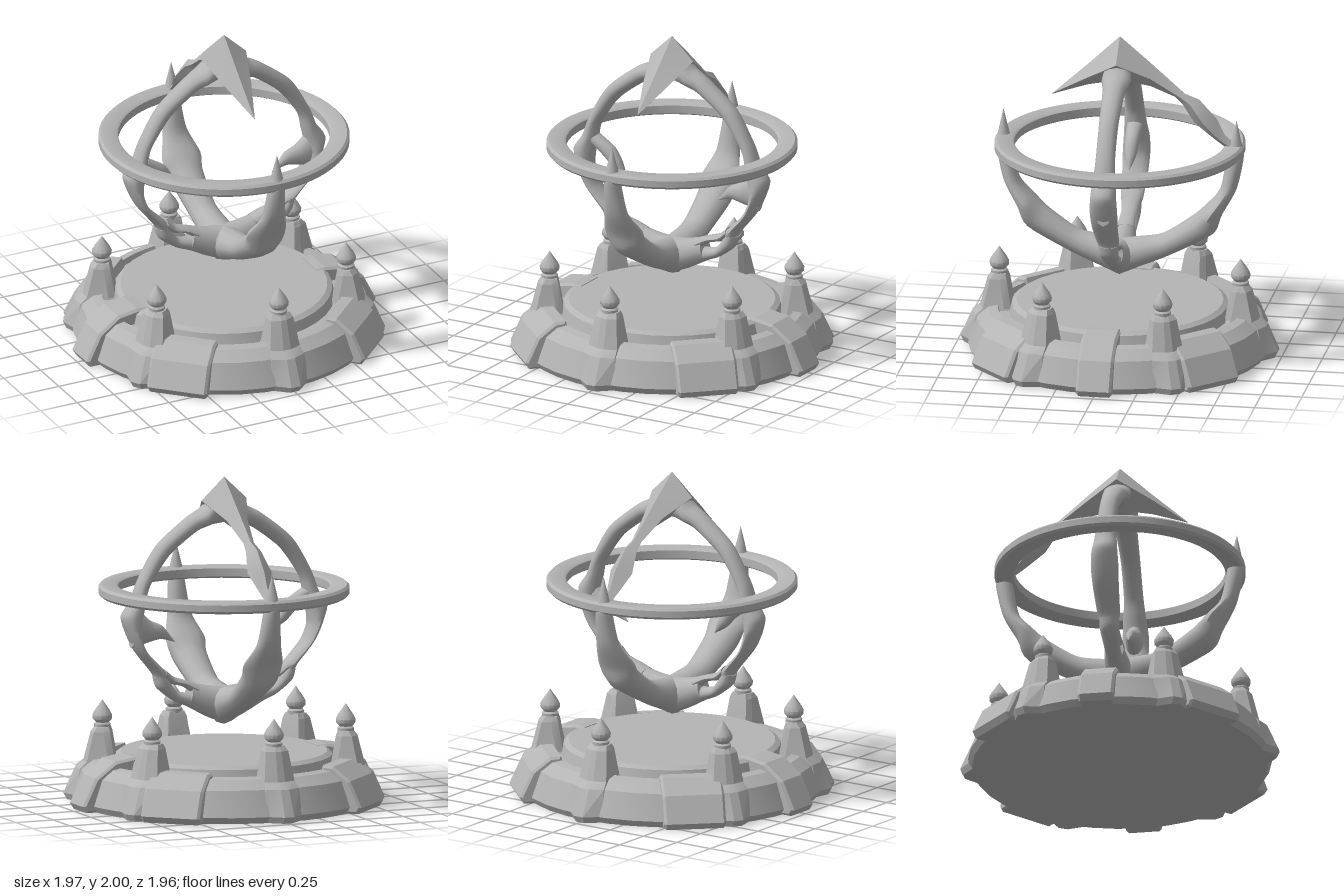
import * as THREE from 'three';
import { toCreasedNormals } from 'three/addons/utils/BufferGeometryUtils.js';

const stone = new THREE.MeshStandardMaterial({ color: 0xb4b4b4 });
stone.name = 'grey stone';

function part(name, geometry, parent) {
  const mesh = new THREE.Mesh(geometry, stone);
  mesh.name = name;
  parent.add(mesh);
  return mesh;
}

// Skin over a stack of equal rings, each end closed at its centre
function loft(rings) {
  const n = rings[0].length;
  const collapse = (ring) => {
    const c = ring.reduce((s, p) => s.add(p), new THREE.Vector3()).divideScalar(n);
    return ring.map(() => c);
  };
  const all = [collapse(rings[0]), ...rings, collapse(rings[rings.length - 1])];
  const index = [];
  for (let k = 0; k < all.length - 1; k++) {
    for (let j = 0; j < n; j++) {
      const a = k * n + j, b = k * n + (j + 1) % n;
      index.push(a, b, b + n, a, b + n, a + n);
    }
  }
  const geo = new THREE.BufferGeometry().setFromPoints(all.flat());
  geo.setIndex(index);
  return geo;
}

// Rib in the xy plane; stations are [outer x, outer y, inner x, inner y, half depth], run clockwise
function rib(stations, sides = 12, sub = 5, crease = 0.9) {
  const outer = new THREE.CatmullRomCurve3(stations.map((s) => new THREE.Vector3(s[0], s[1], s[4])), false, 'catmullrom', 0.4);
  const inner = new THREE.CatmullRomCurve3(stations.map((s) => new THREE.Vector3(s[2], s[3], s[4])), false, 'catmullrom', 0.4);
  const count = (stations.length - 1) * sub;
  const rings = [];
  for (let k = 0; k <= count; k++) {
    const o = outer.getPoint(k / count), i = inner.getPoint(k / count);
    const ring = [];
    for (let j = 0; j < sides; j++) {
      const a = (j / sides) * Math.PI * 2, c = Math.cos(a) / 2;
      ring.push(new THREE.Vector3(
        (o.x + i.x) / 2 + (o.x - i.x) * c,
        (o.y + i.y) / 2 + (o.y - i.y) * c,
        Math.max(o.z, 0) * Math.sin(a)));
    }
    rings.push(ring);
  }
  return toCreasedNormals(loft(rings), crease);
}

function lathe(profile, segments, crease) {
  const geo = new THREE.LatheGeometry(profile.map(([x, y]) => new THREE.Vector2(x, y)), segments);
  return toCreasedNormals(geo, crease);
}

// Block that slopes from the platform edge down to the ground
function buttress(width, profile) {
  const bevel = 0.015;
  const shape = new THREE.Shape(profile.map(([x, y]) => new THREE.Vector2(x, y)));
  const geo = new THREE.ExtrudeGeometry(shape, {
    depth: width - 2 * bevel, bevelEnabled: true, bevelThickness: bevel,
    bevelSize: bevel, bevelOffset: -bevel, bevelSegments: 1,
  });
  return geo.translate(0, 0, bevel - width / 2);
}

function pillarGeometry() {
  // y, inner radius, shoulder radius, front edge radius, half width
  const levels = [
    [0, 0.6, 0.88, 0.96, 0.12], [0.04, 0.6, 0.9, 0.98, 0.125], [0.2, 0.62, 0.87, 0.91, 0.11],
    [0.24, 0.66, 0.83, 0.86, 0.1], [0.42, 0.69, 0.79, 0.815, 0.075], [0.45, 0.7, 0.77, 0.79, 0.06],
  ];
  const rings = levels.map(([y, a, b, c, w]) =>
    [[a, w * 0.8], [a + 0.04, w], [b, w], [c, w * 0.25], [c, -w * 0.25], [b, -w], [a + 0.04, -w], [a, -w * 0.8]]
      .map(([x, z]) => new THREE.Vector3(x, y, z)));
  return toCreasedNormals(loft(rings), 0.3);
}

export function createModel() {
  const model = new THREE.Group();
  model.name = 'ringed cage on pedestal';

  // Pedestal: raised disc, groove and sloping rim
  const base = new THREE.Group();
  base.name = 'pedestal';
  model.add(base);
  part('platform', lathe([
    [0, 0], [0.9, 0], [0.925, 0.04], [0.87, 0.2], [0.8, 0.255], [0.745, 0.265], [0.735, 0.23],
    [0.675, 0.23], [0.66, 0.295], [0.63, 0.315], [0, 0.315],
  ], 36, 0.4), base);

  // Narrow buttresses left and right, wide ones on the diagonals
  const narrow = buttress(0.22, [[0.58, 0], [0.96, 0], [0.985, 0.04], [0.9, 0.21], [0.77, 0.305], [0.64, 0.325], [0.58, 0.32]]);
  const wide = buttress(0.38, [[0.66, 0], [0.95, 0], [0.975, 0.04], [0.9, 0.2], [0.79, 0.285], [0.72, 0.29], [0.7, 0.22]]);
  const rad = Math.PI / 180;
  for (const a of [0, 180]) part('sideButtress', narrow, base).rotation.y = -a * rad;
  for (const a of [46, 134, 226, 314]) part('diagonalButtress', wide, base).rotation.y = -a * rad;

  // Six pillars with pointed finials
  const pillarGeo = pillarGeometry();
  const finialGeo = lathe([
    [0.05, 0.44], [0.052, 0.465], [0.04, 0.475], [0.058, 0.495], [0.061, 0.52], [0.045, 0.55], [0.02, 0.585], [0, 0.615],
  ], 12, 0.7);
  for (let k = 0; k < 6; k++) {
    const post = new THREE.Group();
    post.name = 'post';
    post.rotation.y = (30 + k * 60) * rad;
    part('pillar', pillarGeo, post);
    part('finial', finialGeo, post).position.x = 0.745;
    base.add(post);
  }

  // Level ring
  part('levelRing', lathe([
    [0.645, 1.28], [0.66, 1.27], [0.75, 1.27], [0.765, 1.285], [0.765, 1.325],
    [0.75, 1.34], [0.66, 1.34], [0.645, 1.33], [0.645, 1.28],
  ], 64, 0.6), model);

  // Side ribs, split around a small opening near the bottom
  const sidePieces = {
    sideRib: rib([
      [0, 1.96, 0, 1.72, 0.04], [0.08, 1.89, 0.08, 1.71, 0.08], [0.15, 1.815, 0.13, 1.7, 0.09],
      [0.25, 1.76, 0.2, 1.67, 0.07], [0.45, 1.6, 0.37, 1.54, 0.06], [0.57, 1.4, 0.5, 1.36, 0.06],
      [0.62, 1.27, 0.53, 1.25, 0.07], [0.68, 1.18, 0.55, 1.15, 0.08], [0.65, 1.08, 0.56, 1.05, 0.085],
      [0.59, 0.96, 0.52, 0.95, 0.08], [0.48, 0.82, 0.41, 0.84, 0.07], [0.46, 0.77, 0.38, 0.815, 0.06],
    ]),
    upperStrand: rib([
      [0.42, 0.79, 0.4, 0.84, 0.06], [0.36, 0.745, 0.34, 0.79, 0.05],
      [0.28, 0.725, 0.25, 0.76, 0.05], [0.2, 0.67, 0.18, 0.735, 0.06],
    ]),
    lowerStrand: rib([
      [0.47, 0.79, 0.4, 0.81, 0.06], [0.445, 0.72, 0.36, 0.75, 0.06], [0.34, 0.64, 0.32, 0.7, 0.05],
      [0.25, 0.6, 0.25, 0.685, 0.05], [0.16, 0.55, 0.16, 0.69, 0.06],
    ]),
    sideCradle: rib([
      [0.25, 0.6, 0.22, 0.745, 0.06], [0.12, 0.53, 0.1, 0.72, 0.08], [0, 0.48, 0, 0.71, 0.1],
    ]),
  };
  // Front and back ribs, rising to a point above the ring
  const spikeRib = rib([
    [0.72, 1.5, 0.72, 1.5, 0], [0.75, 1.36, 0.685, 1.36, 0.035], [0.765, 1.27, 0.66, 1.27, 0.05],
    [0.72, 1.06, 0.62, 1.06, 0.08], [0.63, 0.89, 0.53, 0.95, 0.13], [0.57, 0.76, 0.44, 0.87, 0.11],
    [0.3, 0.61, 0.26, 0.75, 0.09], [0.12, 0.53, 0.1, 0.72, 0.1], [0, 0.475, 0, 0.71, 0.1],
  ]);
  for (const turn of [0, Math.PI]) {
    for (const [name, geo] of Object.entries(sidePieces)) part(name, geo, model).rotation.y = turn;
    part('spikeRib', spikeRib, model).rotation.y = turn - Math.PI / 2;
  }

  // Inner thorns, one on each side rib
  part('leftThorn', rib([
    [0.62, 0.98, 0.6, 1.25, 0.06], [0.5, 1.01, 0.5, 1.15, 0.045], [0.42, 1.025, 0.41, 1.105, 0.03], [0.325, 1, 0.325, 1, 0],
  ]), model);
  part('rightThorn', rib([
    [-0.52, 1.28, -0.58, 1.23, 0.05], [-0.41, 1.21, -0.475, 1.15, 0.045], [-0.355, 1.13, -0.41, 1.085, 0.035], [-0.315, 1.03, -0.315, 1.03, 0],
  ]), model);

  // Ridged crown: beak at the front, leaf-shaped tail reaching the ring at the back
  part('crown', rib([
    [-0.72, 1.34, -0.67, 1.31, 0.03], [-0.65, 1.4, -0.58, 1.375, 0.045], [-0.6, 1.5, -0.46, 1.47, 0.08],
    [-0.49, 1.62, -0.39, 1.58, 0.05], [-0.4, 1.655, -0.34, 1.63, 0.035], [-0.2, 1.83, -0.19, 1.69, 0.07],
    [0, 2, 0, 1.72, 0.15], [0.2, 1.81, 0.2, 1.68, 0.085], [0.42, 1.61, 0.41, 1.61, 0],
  ], 4, 1, 0.6), model).rotation.y = -Math.PI / 2;

  return model;
}
